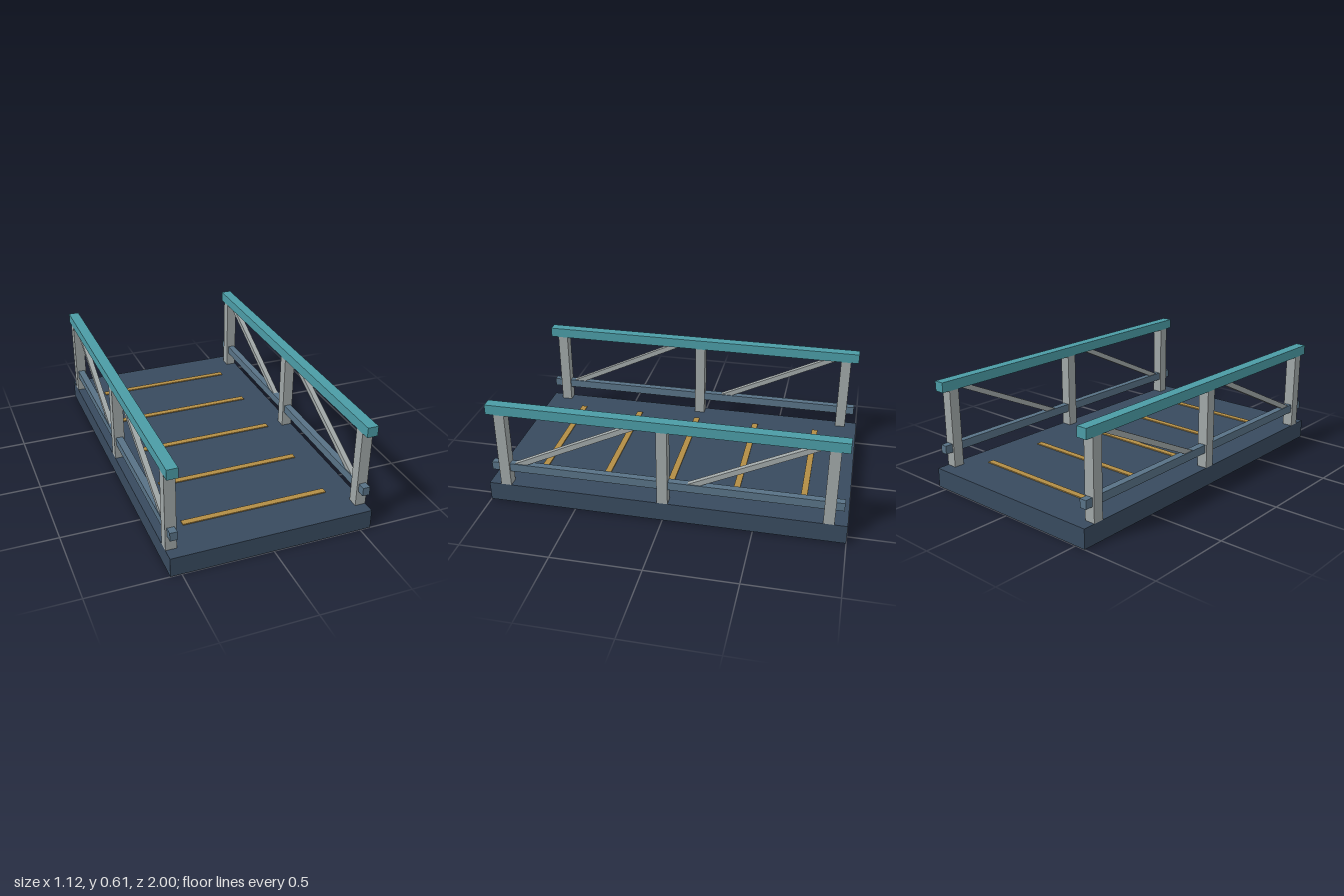
import * as THREE from 'three';

const material = (name, color) => {
  const m = new THREE.MeshStandardMaterial({ color });
  m.name = name;
  return m;
};

export function createModel() {
  const slate = material('dark slate', 0x384a5e);
  const teal = material('teal', 0x4b9ca6);
  const grey = material('pale grey', 0xa0a7a7);
  const steel = material('steel blue', 0x587286);
  const ochre = material('ochre', 0xb28d45);

  const model = new THREE.Group();
  model.name = 'footbridge';

  const addBox = (parent, name, mat, size, position) => {
    const mesh = new THREE.Mesh(new THREE.BoxGeometry(...size), mat);
    mesh.name = name;
    mesh.position.set(...position);
    parent.add(mesh);
    return mesh;
  };

  // Deck slab with thin cross strips
  addBox(model, 'deck', slate, [1.12, 0.11, 2], [0, 0.055, 0]);
  for (let i = -2; i <= 2; i++) {
    addBox(model, 'deckStrip', ochre, [0.82, 0.006, 0.035], [0, 0.113, i * 0.375]);
  }

  // One railing along each side
  for (const side of [-1, 1]) {
    const railing = new THREE.Group();
    railing.name = side > 0 ? 'leftRailing' : 'rightRailing';
    railing.position.x = side * 0.53;
    model.add(railing);

    addBox(railing, 'handrail', teal, [0.06, 0.057, 1.95], [0, 0.5815, 0]);
    addBox(railing, 'lowerRail', steel, [0.04, 0.048, 1.95], [0, 0.221, 0]);

    for (const z of [-0.9, 0, 0.9]) {
      addBox(railing, 'post', grey, [0.06, 0.443, 0.06], [0, 0.3315, z]);
    }

    // Diagonal braces, both rising towards the back
    for (const z of [-0.49, 0.49]) {
      const brace = addBox(railing, 'brace', grey, [0.03, 0.03, 0.88], [0, 0.397, z]);
      brace.rotation.x = 0.447;
    }
  }

  return model;
}
